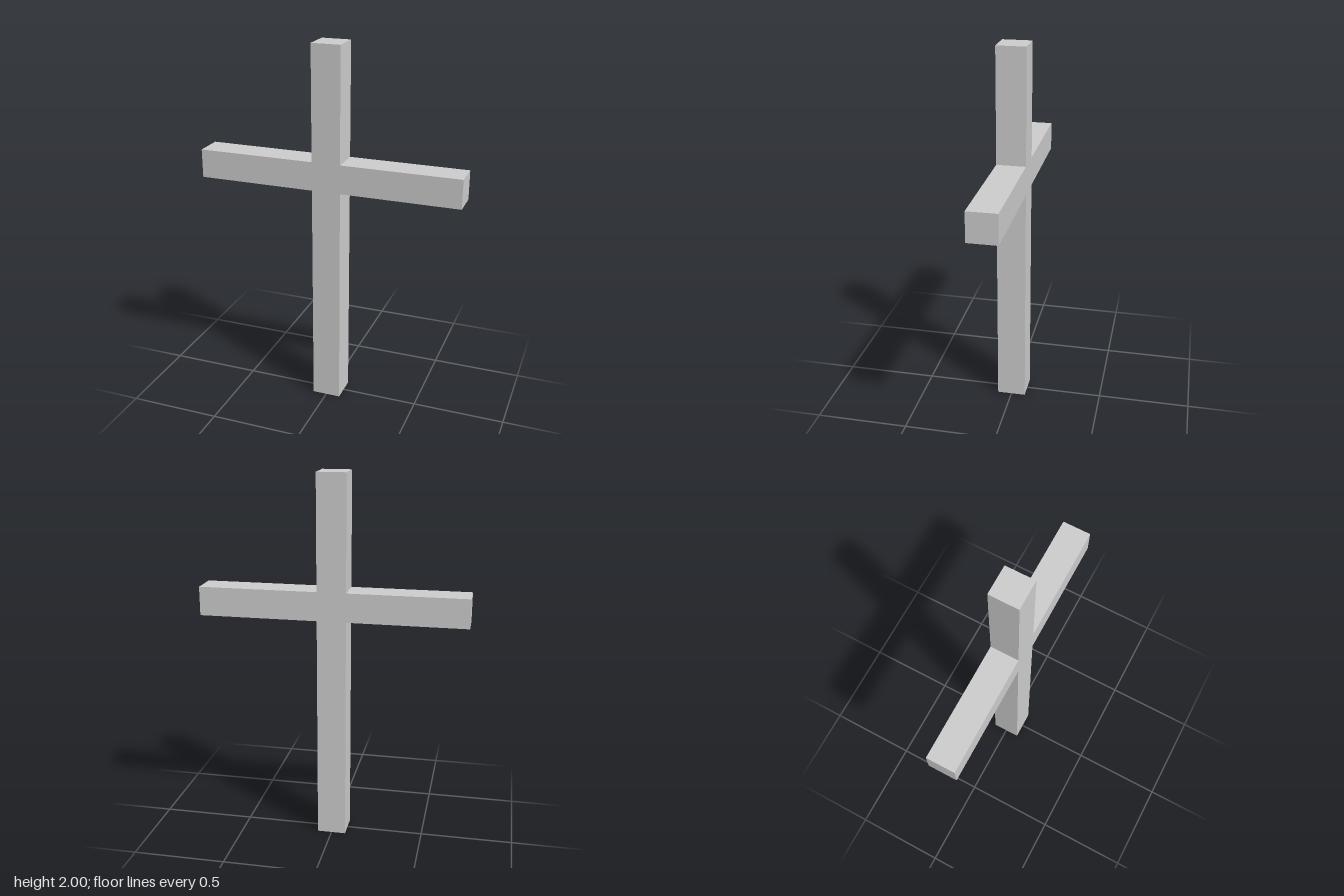
import * as THREE from 'three';

const HEIGHT = 2;
const HALF = 0.078;          // half thickness of both beams
const ARM = 0.717;           // half span of the crossbar
const BAR_BOTTOM = 1.232;
const BAR_TOP = 1.388;

export function createModel() {
  const group = new THREE.Group();
  group.name = 'cross';

  // Right half of the outline, bottom to top, then mirrored for the left half
  const half = [
    [HALF, 0], [HALF, BAR_BOTTOM], [ARM, BAR_BOTTOM],
    [ARM, BAR_TOP], [HALF, BAR_TOP], [HALF, HEIGHT],
  ];
  const mirrored = half.map(([x, y]) => [-x, y]).reverse();
  const outline = [...half, ...mirrored].map(([x, y]) => new THREE.Vector2(x, y));

  // Upright and crossbar as one solid with flush faces
  const geometry = new THREE.ExtrudeGeometry(new THREE.Shape(outline), {
    depth: 2 * HALF,
    bevelEnabled: false,
  });
  geometry.translate(0, 0, -HALF);

  const material = new THREE.MeshStandardMaterial({ color: 0xcccccc, flatShading: true });
  const beams = new THREE.Mesh(geometry, material);
  beams.name = 'uprightAndCrossbar';
  group.add(beams);

  return group;
}
